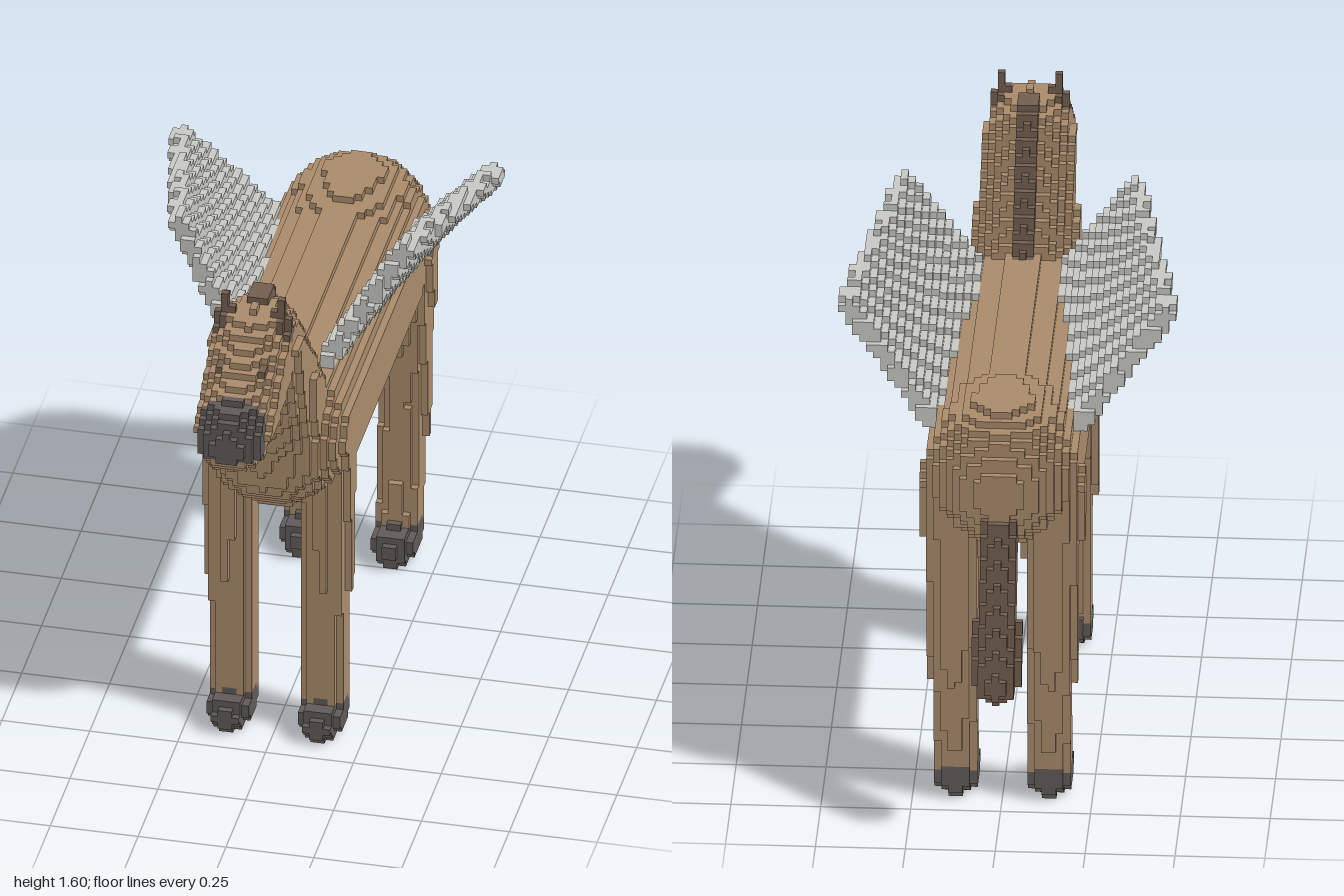
import * as THREE from 'three';

const S = 0.02;                    // cell size
const NX = 51, NY = 82, NZ = 100;  // grid covering the whole animal

const material = (name, color) => {
  const m = new THREE.MeshStandardMaterial({ color });
  m.name = name;
  return m;
};

// Solid test: ball swept from a to b, radius going from ra to rb (mirrored in x)
function limb(a, ra, b, rb) {
  const d = b.map((v, i) => v - a[i]);
  const len = d[0] * d[0] + d[1] * d[1] + d[2] * d[2] || 1;
  return (x, y, z) => {
    const p = [Math.abs(x) - a[0], y - a[1], z - a[2]];
    let t = (p[0] * d[0] + p[1] * d[1] + p[2] * d[2]) / len;
    t = Math.min(1, Math.max(0, t));
    const r = ra + (rb - ra) * t;
    return Math.hypot(p[0] - d[0] * t, p[1] - d[1] * t, p[2] - d[2] * t) < r;
  };
}
const ball = (c, r) => limb(c, r, c, r);

// Barrel: squarish round section along z
const barrel = (x, y, z) => z > -0.56 && z < 0.38 &&
  Math.abs(x / 0.208) ** 2.5 + Math.abs((y - 0.97) / 0.222) ** 2.5 < 1;

// Dark nose cap, cut out of the head
const headShape = limb([0, 1.43, 0.64], 0.122, [0, 1.305, 0.9], 0.101);
const muzzle = (x, y, z) => z > 0.9 && y > 1.25 && Math.abs(x) < 0.092 && headShape(x, y, z);

// Parts in painting order; later ones replace earlier ones
const PARTS = [
  ['tail', 'mane', [limb([0, 0.92, -0.8], 0.058, [0, 0.5, -0.937], 0.062)]],
  ['body', 'coat', [barrel,
    limb([0, 1.0, -0.52], 0.215, [0, 1.015, -0.63], 0.212),
    ball([0, 0.985, 0.34], 0.213)]],
  ['neck', 'coat', [limb([0, 1.05, 0.4], 0.165, [0, 1.42, 0.6], 0.122)]],
  ['frontLegs', 'coat', [limb([0.138, 1.0, 0.32], 0.075, [0.13, 0.1, 0.325], 0.062)]],
  ['hindLegs', 'coat', [
    limb([0.14, 0.97, -0.63], 0.09, [0.137, 0.5, -0.655], 0.068),
    limb([0.137, 0.5, -0.655], 0.068, [0.13, 0.1, -0.622], 0.062)]],
  ['frontHooves', 'hoof', [limb([0.13, 0.063, 0.315], 0.061, [0.13, 0.055, 0.385], 0.056)]],
  ['hindHooves', 'hoof', [limb([0.13, 0.063, -0.625], 0.061, [0.13, 0.055, -0.54], 0.056)]],
  ['head', 'coat', [headShape]],
  ['muzzle', 'hoof', [muzzle]],
  ['eyes', 'mane', [ball([0.06, 1.44, 0.8], 0.021)]],
  ['mane', 'mane', [
    limb([0, 1.185, 0.315], 0.036, [0, 1.53, 0.545], 0.036),
    limb([0, 1.53, 0.545], 0.036, [0, 1.535, 0.575], 0.033)]],
  ['ears', 'mane', [limb([0.078, 1.49, 0.65], 0.032, [0.08, 1.59, 0.65], 0.011)]],
];

// Wing corners on the +x side: root front, tip front, tip rear, root rear
const WING = [[0.115, 1.16, 0.29], [0.325, 1.5, 0.16], [0.455, 1.405, -0.42], [0.185, 1.075, -0.54]];

const index = (i, j, k) => (i * NY + j) * NZ + k;
const centre = (i, j, k) => [(i - (NX - 1) / 2) * S, (j + 0.5) * S, (k - NZ / 2 + 0.5) * S];

function fillGrid() {
  const grid = new Uint8Array(NX * NY * NZ);
  // Wings first: cells along a slightly twisted sheet
  const wingId = PARTS.length + 1;
  const N = 120;
  for (let a = 0; a <= N; a++) for (let b = 0; b <= N; b++) {
    const u = a / N, v = b / N;
    const p = [0, 1, 2].map(c =>
      (WING[0][c] * (1 - u) + WING[1][c] * u) * (1 - v) + (WING[3][c] * (1 - u) + WING[2][c] * u) * v);
    for (const off of [-0.009, 0.009]) for (const side of [-1, 1]) {
      const i = Math.round(side * (p[0] + off) / S + (NX - 1) / 2);
      const j = Math.floor((p[1] - off * 0.6) / S);
      const k = Math.floor(p[2] / S + NZ / 2);
      grid[index(i, j, k)] = wingId;
    }
  }
  PARTS.forEach(([, , solids], n) => {
    for (let i = 0; i < NX; i++) for (let j = 0; j < NY; j++) for (let k = 0; k < NZ; k++) {
      const c = centre(i, j, k);
      if (solids.some(f => f(...c))) grid[index(i, j, k)] = n + 1;
    }
  });
  return grid;
}

// Outer faces of all cells belonging to one part
function cellSurface(grid, id) {
  const pos = [], nor = [], idx = [];
  const size = [NX, NY, NZ];
  for (let i = 0; i < NX; i++) for (let j = 0; j < NY; j++) for (let k = 0; k < NZ; k++) {
    if (grid[index(i, j, k)] !== id) continue;
    const c = centre(i, j, k);
    for (let axis = 0; axis < 3; axis++) for (const s of [-1, 1]) {
      const n = [i, j, k];
      n[axis] += s;
      if (n[axis] >= 0 && n[axis] < size[axis] && grid[index(...n)]) continue;
      const base = pos.length / 3;
      const u = (axis + 1) % 3, v = (axis + 2) % 3;
      for (const [du, dv] of [[-1, -1], [1, -1], [1, 1], [-1, 1]]) {
        const p = [...c];
        p[axis] += s * S / 2;
        p[u] += s * du * S / 2;   // flipping u keeps the face turned outward
        p[v] += dv * S / 2;
        pos.push(...p);
        nor.push(...[0, 1, 2].map(q => (q === axis ? s : 0)));
      }
      idx.push(base, base + 1, base + 2, base, base + 2, base + 3);
    }
  }
  const g = new THREE.BufferGeometry();
  g.setAttribute('position', new THREE.Float32BufferAttribute(pos, 3));
  g.setAttribute('normal', new THREE.Float32BufferAttribute(nor, 3));
  g.setIndex(idx);
  return g;
}

export function createModel() {
  const materials = {
    coat: material('tanCoat', 0xab8c6c),
    mane: material('darkBrownHair', 0x745f50),
    hoof: material('charcoalHoof', 0x615b59),
    wing: material('paleGreyFeather', 0xc9c9c4),
  };
  const group = new THREE.Group();
  group.name = 'wingedHorse';
  const grid = fillGrid();
  [...PARTS, ['wings', 'wing']].forEach(([name, colour], n) => {
    const mesh = new THREE.Mesh(cellSurface(grid, n + 1), materials[colour]);
    mesh.name = name;
    group.add(mesh);
  });
  return group;
}
